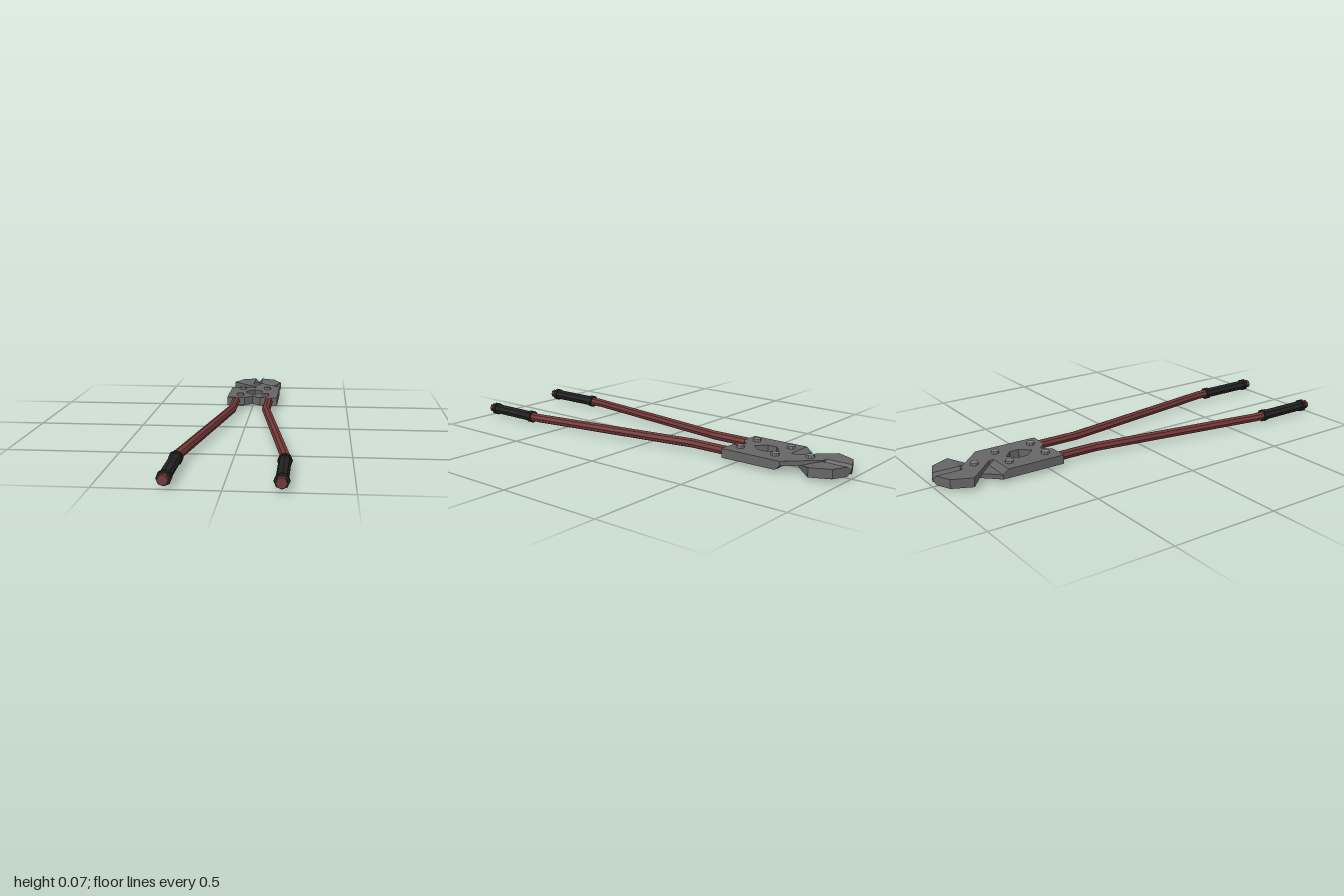
import * as THREE from 'three';

const steel = new THREE.MeshStandardMaterial({ color: 0x666666 });
steel.name = 'dark steel';
const boltSteel = new THREE.MeshStandardMaterial({ color: 0x828282 });
boltSteel.name = 'bolt steel';
const red = new THREE.MeshStandardMaterial({ color: 0x733838 });
red.name = 'dull red paint';
const rubber = new THREE.MeshStandardMaterial({ color: 0x222222 });
rubber.name = 'black rubber';

// Bottom, middle and top heights of the cutter head
const L = 0.014, M = 0.035, H = 0.056;

function addMesh(parent, name, geometry, material) {
  const flat = geometry.index ? geometry.toNonIndexed() : geometry;
  flat.computeVertexNormals();
  const mesh = new THREE.Mesh(flat, material);
  mesh.name = name;
  parent.add(mesh);
  return mesh;
}

// Upright prism over an outline of [x, z, bottom, top] corners
function prism(corners) {
  let pts = corners.map(([x, z, b = L, t = H]) => ({ v: new THREE.Vector2(x, -z), b, t }));
  if (THREE.ShapeUtils.area(pts.map(p => p.v)) < 0) pts = pts.reverse();
  const pos = [];
  const put = (p, y) => pos.push(p.v.x, y, -p.v.y);
  for (const [a, b, c] of THREE.ShapeUtils.triangulateShape(pts.map(p => p.v), [])) {
    [a, b, c].forEach(i => put(pts[i], pts[i].t));
    [c, b, a].forEach(i => put(pts[i], pts[i].b));
  }
  pts.forEach((p, i) => {
    const q = pts[(i + 1) % pts.length];
    put(p, p.b); put(q, q.b); put(q, q.t);
    put(p, p.b); put(q, q.t); put(p, p.t);
  });
  const g = new THREE.BufferGeometry();
  g.setAttribute('position', new THREE.Float32BufferAttribute(pos, 3));
  return g;
}

// One half of the head: body on +x, crossing over the pivot to a jaw on -x
function headHalf(name) {
  const half = new THREE.Group();
  half.name = name;
  const parts = {
    body: [[0, -0.71], [0.132, -0.71], [0.132, -0.435], [0.042, -0.435], [0, -0.475],
      [0, -0.52], [0.042, -0.565], [0.042, -0.61], [0, -0.65]],
    ledge: [[0, -0.735, M], [0.132, -0.735, M], [0.132, -0.71], [0, -0.71]],
    neck: [[0, -0.735, M], [-0.065, -0.80, M], [0, -0.87, M], [0.132, -0.735, M]],
    jawRoot: [[-0.065, -0.80, M], [-0.132, -0.87], [-0.02, -0.87]],
    jawRootInner: [[-0.065, -0.80, M], [-0.02, -0.87], [0, -0.87, M]],
    jaw: [[-0.02, -0.87], [-0.132, -0.87], [-0.09, -0.96], [-0.02, -0.991]],
    cuttingEdge: [[0, -0.87, M, M], [-0.02, -0.87], [-0.02, -0.991], [0, -1, M, M]],
  };
  for (const [part, corners] of Object.entries(parts)) addMesh(half, part, prism(corners), steel);
  return half;
}

// Eight-sided cylinder lying along z
function zCylinder(radius, length, rows = 1) {
  return new THREE.CylinderGeometry(radius, radius, length, 8, rows).rotateX(Math.PI / 2);
}

function handle(name, side) {
  const group = new THREE.Group();
  group.name = name;

  // Bent rod: each ring of a straight cylinder is moved to its station
  const stations = [[0.087, -0.435], [0.087, -0.24], [0.222, 0.64], [0.222, 1]];
  const rod = zCylinder(0.022, 3, 3);
  const p = rod.attributes.position;
  for (let i = 0; i < p.count; i++) {
    const [x, z] = stations[Math.round(p.getZ(i) + 1.5)];
    p.setXYZ(i, p.getX(i) + side * x, p.getY(i) + M, z);
  }
  addMesh(group, 'rod', rod, red);

  // Rubber grip with a collar at each end
  const sleeve = [['grip', 0.026, 0.69, 0.97], ['frontCollar', 0.031, 0.955, 0.975],
    ['rearCollar', 0.031, 0.685, 0.705]];
  for (const [part, r, z0, z1] of sleeve) {
    addMesh(group, part, zCylinder(r, z1 - z0), rubber)
      .position.set(side * 0.222, M, (z0 + z1) / 2);
  }
  return group;
}

export function createModel() {
  const model = new THREE.Group();
  model.name = 'boltCutter';

  // The two head halves are the same piece, one turned over about the z axis
  const upper = headHalf('upperHeadHalf');
  const lower = headHalf('lowerHeadHalf');
  lower.rotation.z = Math.PI;
  lower.position.y = 2 * M;
  model.add(upper, lower);

  // Pivot bolt and four linkage bolts
  const bolts = [[0, -0.805]];
  for (const s of [-1, 1]) bolts.push([s * 0.067, -0.67], [s * 0.067, -0.49]);
  for (const [x, z] of bolts) {
    addMesh(model, 'bolt', new THREE.CylinderGeometry(0.019, 0.019, 0.068, 8), boltSteel)
      .position.set(x, 0.034, z);
  }

  model.add(handle('leftHandle', 1), handle('rightHandle', -1));
  return model;
}
